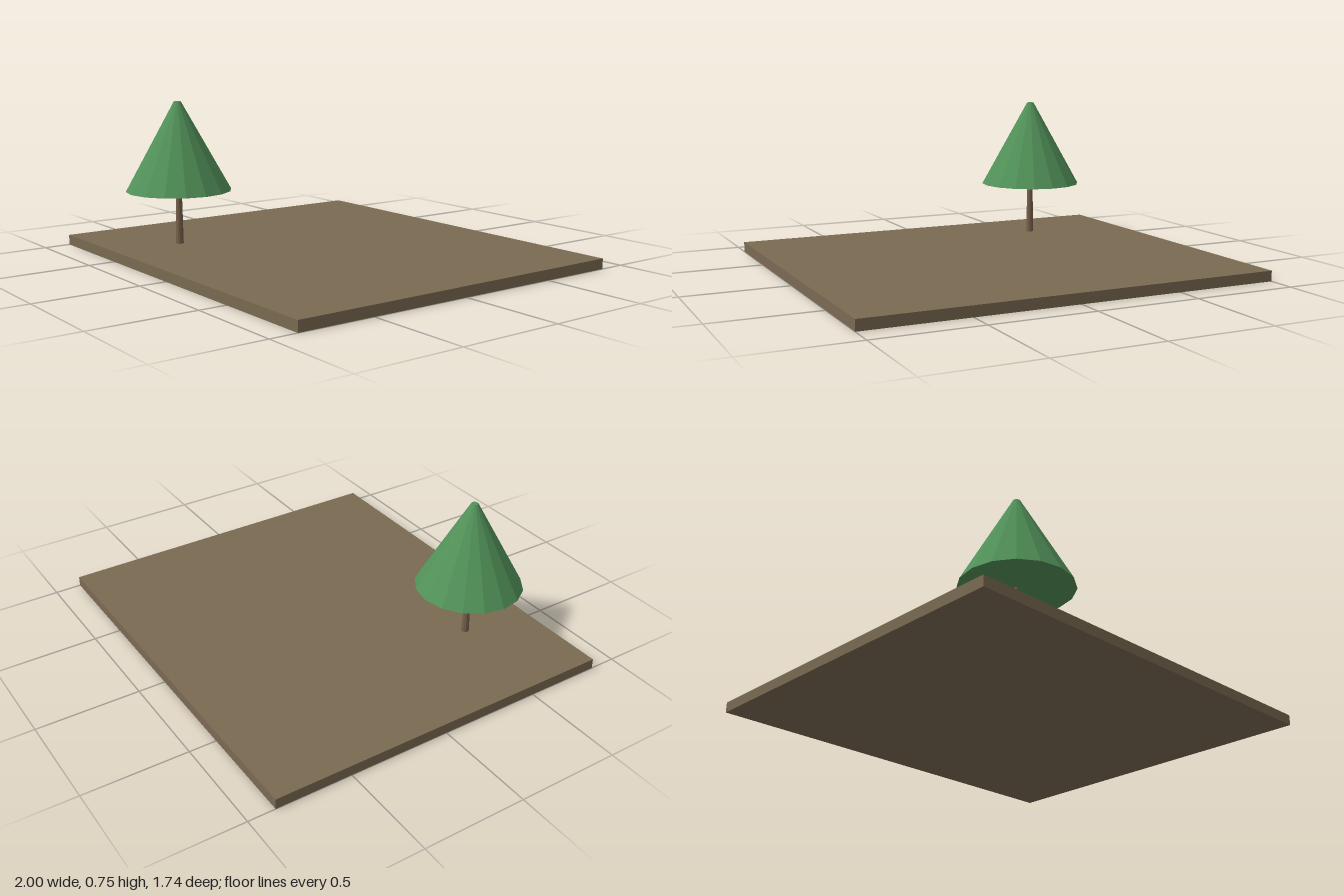
import * as THREE from 'three';

function flatMaterial(name, color) {
  const m = new THREE.MeshStandardMaterial({ color, flatShading: true });
  m.name = name;
  return m;
}

export function createModel() {
  const soil = flatMaterial('soil brown', 0x7a6a52);
  const bark = flatMaterial('bark brown', 0x765f4a);
  const leaf = flatMaterial('leaf green', 0x529259);

  const model = new THREE.Group();
  model.name = 'treeOnGround';

  const add = (parent, name, geometry, material, y) => {
    const mesh = new THREE.Mesh(geometry, material);
    mesh.name = name;
    mesh.position.y = y;
    parent.add(mesh);
  };

  // Ground slab
  add(model, 'ground', new THREE.BoxGeometry(2, 0.05, 1.74), soil, 0.025);

  // Tree: tapered trunk under a truncated cone
  const tree = new THREE.Group();
  tree.name = 'tree';
  tree.position.set(-0.482, 0.05, 0.52);
  add(tree, 'trunk', new THREE.CylinderGeometry(0.014, 0.019, 0.27, 12), bark, 0.135);
  add(tree, 'foliage', new THREE.CylinderGeometry(0.017, 0.258, 0.435, 16), leaf, 0.4825);
  model.add(tree);

  return model;
}
